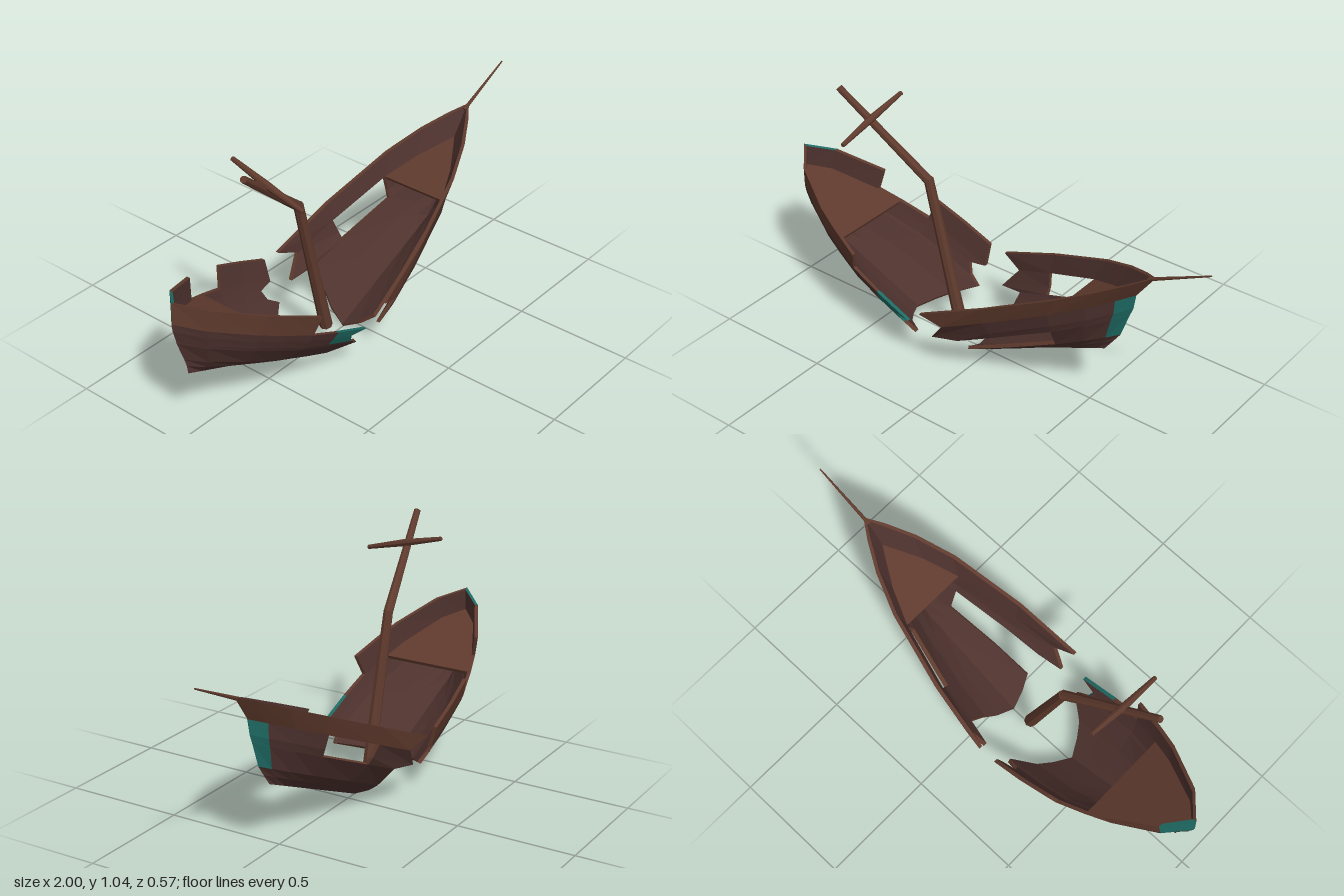
import * as THREE from 'three';

const mat = (color) => new THREE.MeshStandardMaterial({ color, flatShading: true, roughness: 0.9 });
const MATS = { hull: mat(0x4e322e), rail: mat(0x5f3a2d), patch: mat(0x1f6b64) };
const THICK = 0.016;

// Point on a half hull: station i along the length, level j up the side
function hullPoint(h, i, j, side, inner) {
  const L = h.levels[j], t = h.t[i];
  let u = i === 0 ? L.start : h.base + (L.end - h.base) * t;
  let v = L.v, w = L.w * h.f[i];
  if (inner) {
    w = Math.max(0, w - THICK * (j < 3 ? 0.5 : 1));
    if (j < 4) v += THICK * (j === 3 ? 0.4 : 0.8);
    if (t === 1) u -= THICK;
  }
  return [h.dir * u, v, side * w];
}

// Thick planked shell; cells left out become holes and broken edges
function buildShell(h) {
  const group = new THREE.Group();
  const out = { hull: [], rail: [], patch: [] };
  const nI = h.t.length - 1, nJ = h.levels.length - 1;
  for (const side of [1, -1]) {
    const flip = side * h.dir < 0;
    const kind = (i, j) => h.kind(i, j, side);
    const quad = (k, a, b, c, d) => {
      const list = flip ? [a, c, b, a, d, c] : [a, b, c, a, c, d];
      list.forEach((p) => out[k].push(...p));
    };
    for (let i = 0; i < nI; i++) for (let j = 0; j < nJ; j++) {
      const k = kind(i, j);
      if (!k) continue;
      const ring = [[i, j], [i + 1, j], [i + 1, j + 1], [i, j + 1]];
      const o = ring.map(([a, b]) => hullPoint(h, a, b, side, false));
      const n = ring.map(([a, b]) => hullPoint(h, a, b, side, true));
      quad(k, ...o);
      quad('hull', n[3], n[2], n[1], n[0]);
      // Close the plank edge wherever there is no neighbour
      const open = [
        j > 0 && !kind(i, j - 1),
        i < nI - 1 && !kind(i + 1, j),
        j === nJ - 1 || !kind(i, j + 1),
        i === 0 || !kind(i - 1, j),
      ];
      open.forEach((isOpen, e) => {
        const f = (e + 1) % 4;
        if (isOpen) quad(k === 'patch' ? k : 'rail', o[e], n[e], n[f], o[f]);
      });
    }
  }
  for (const k in out) {
    const g = new THREE.BufferGeometry();
    g.setAttribute('position', new THREE.Float32BufferAttribute(out[k], 3));
    g.computeVertexNormals();
    const mesh = new THREE.Mesh(g, MATS[k]);
    mesh.name = h.name + { hull: 'Planking', rail: 'Rail', patch: 'Patch' }[k];
    group.add(mesh);
  }
  // Raised deck fitted between the sides
  const pts = [];
  for (let i = h.deckFrom; i <= nI; i++) pts.push(hullPoint(h, i, h.deckLevel, 1, true));
  const outline = [...pts, ...pts.slice(0, -1).reverse().map(([x, y, z]) => [x, y, -z])];
  const shape = new THREE.Shape(outline.map(([x, , z]) => new THREE.Vector2(x, z)));
  const deckGeo = new THREE.ExtrudeGeometry(shape, { depth: 0.015, bevelEnabled: false });
  deckGeo.rotateX(Math.PI / 2);
  const deck = new THREE.Mesh(deckGeo, MATS.rail);
  deck.name = h.name + 'Deck';
  deck.position.y = h.levels[h.deckLevel].v;
  group.add(deck);
  group.name = h.name + 'Half';
  return group;
}

const toLevels = (rows) => rows.map(([v, w, start, end]) => ({ v, w, start, end }));

// Tapered round timber between two points
function spar(name, a, b, ra, rb) {
  const A = new THREE.Vector3(...a), B = new THREE.Vector3(...b);
  const d = B.clone().sub(A);
  const m = new THREE.Mesh(new THREE.CylinderGeometry(rb, ra, d.length(), 8), MATS.rail);
  m.position.copy(A).add(B).multiplyScalar(0.5);
  m.quaternion.setFromUnitVectors(new THREE.Vector3(0, 1, 0), d.normalize());
  m.name = name;
  return m;
}

export function createModel() {
  const model = new THREE.Group();
  model.name = 'shipwreck';

  // Level rows: height, half width, broken end, closed end
  const bow = buildShell({
    name: 'bow', dir: 1, base: 0.05, deckFrom: 2, deckLevel: 5,
    t: [0, 0.3, 0.63, 0.8, 0.92, 1],
    f: [1, 0.87, 0.62, 0.4, 0.18, 0],
    levels: toLevels([
      [0, 0, 0, 0.667], [0.03, 0.08, 0.035, 0.72], [0.06, 0.135, 0.075, 0.77],
      [0.14, 0.215, 0.12, 0.845], [0.17, 0.237, 0.01, 0.875],
      [0.225, 0.262, 0.11, 0.91], [0.295, 0.285, 0.04, 1.03],
    ]),
    kind(i, j, side) {
      if (side > 0 && j === 2 && i < 2) return null;
      if (side < 0 && (j === 3 || j === 4) && i === 1) return null;
      if (i === 4 && j >= 2 && j <= 4) return 'patch';
      return j === 5 ? 'rail' : 'hull';
    },
  });
  bow.position.set(-0.05, 0.002, 0);
  bow.rotation.z = THREE.MathUtils.degToRad(24);

  const stern = buildShell({
    name: 'stern', dir: -1, base: -0.05, deckFrom: 3, deckLevel: 6,
    t: [0, 0.16, 0.34, 0.51, 0.64, 0.88, 1],
    f: [1, 0.99, 0.95, 0.82, 0.7, 0.36, 0],
    levels: toLevels([
      [0, 0, 0, 0.587], [0.03, 0.08, -0.03, 0.605], [0.06, 0.135, -0.06, 0.63],
      [0.13, 0.21, -0.13, 0.695], [0.145, 0.222, -0.07, 0.705],
      [0.18, 0.243, -0.035, 0.733], [0.21, 0.258, -0.1, 0.75], [0.295, 0.285, -0.065, 0.78],
    ]),
    kind(i, j, side) {
      if (j === 6 && (side > 0 ? i < 2 : i === 2 || i === 3)) return null;
      if (side > 0 && i === 0 && (j === 4 || j === 5)) return 'patch';
      if (side < 0 && i === 5 && j >= 4) return 'patch';
      return j === 6 ? 'rail' : 'hull';
    },
  });
  stern.position.set(-0.39, 0.05, 0);
  stern.rotation.z = THREE.MathUtils.degToRad(-23.1);

  // Snapped mast, yard and bowsprit
  const yardMid = [-0.545, 0.93, 0.06];
  model.add(
    bow, stern,
    spar('lowerMast', [-0.152, 0.065, -0.003], [-0.31, 0.712, 0], 0.027, 0.02),
    spar('upperMast', [-0.305, 0.7, 0], [-0.69, 1.03, 0.086], 0.02, 0.014),
    spar('yardLeft', yardMid, [-0.545, 0.885, 0.235], 0.015, 0.009),
    spar('yardRight', yardMid, [-0.538, 0.973, -0.112], 0.015, 0.009),
    spar('bowsprit', [0.74, 0.672, 0], [1, 0.795, 0], 0.008, 0.003),
  );
  return model;
}
